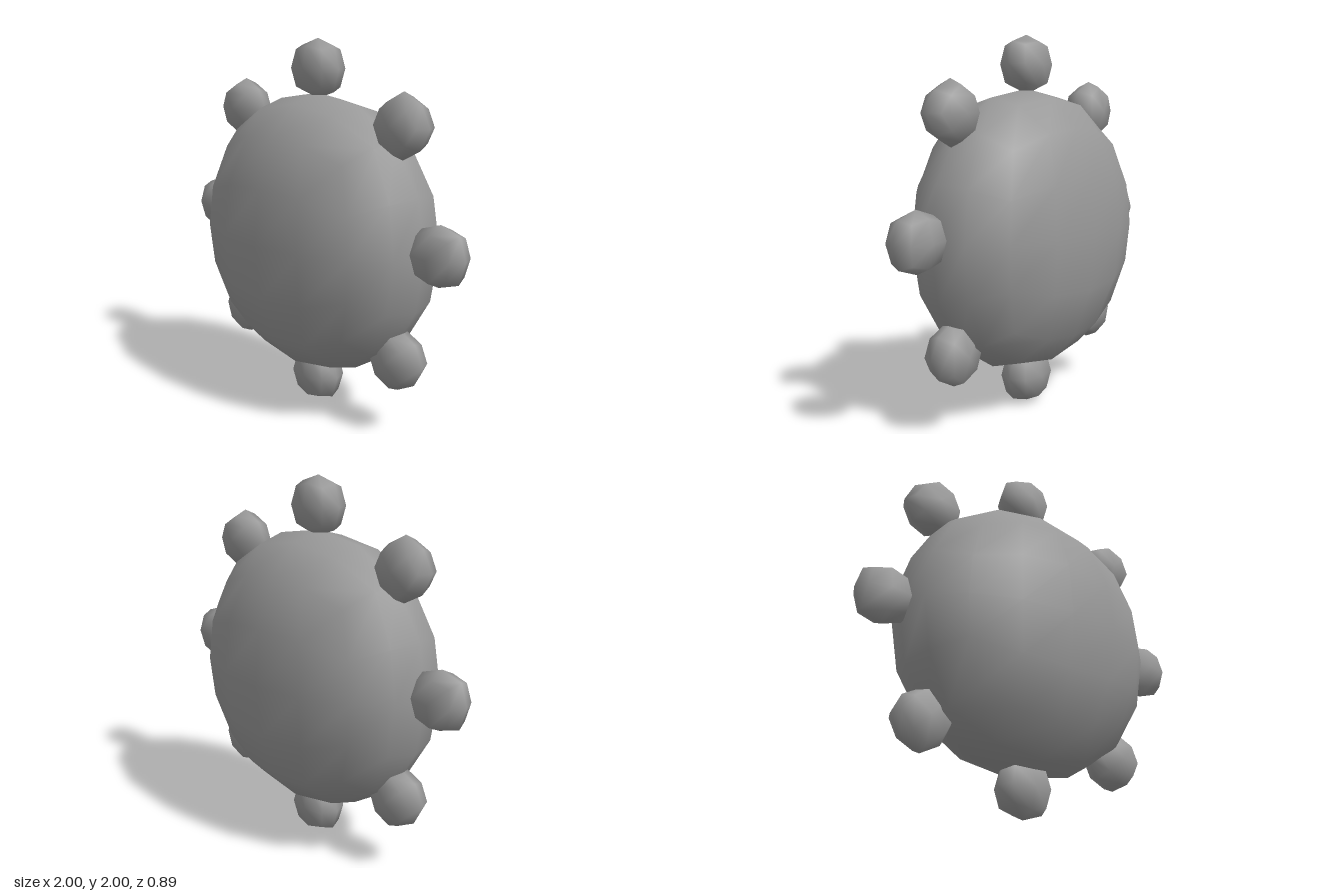
import * as THREE from 'three';
import { mergeVertices } from 'three/addons/utils/BufferGeometryUtils.js';

// Rounded cube-sphere: each cube face is a segs x segs quad grid bulged outwards,
// slightly flatter at the six face centres.
function quadSphere(segs, radius, dip, depth) {
  let geo = new THREE.BoxGeometry(2, 2, 2, segs, segs, segs);
  geo.deleteAttribute('uv');
  geo.deleteAttribute('normal');
  geo = mergeVertices(geo, 1e-4);
  const pos = geo.attributes.position;
  const v = new THREE.Vector3();
  for (let i = 0; i < pos.count; i++) {
    v.fromBufferAttribute(pos, i);
    v.set(...v.toArray().map((c) => Math.tan((c * Math.PI) / 4))).normalize();
    const m = Math.max(Math.abs(v.x), Math.abs(v.y), Math.abs(v.z));
    v.multiplyScalar(radius - dip * m ** 8);
    pos.setXYZ(i, v.x, v.y, v.z * depth);
  }
  geo.computeVertexNormals();
  return geo;
}

export function createModel() {
  const group = new THREE.Group();
  const material = new THREE.MeshStandardMaterial({ color: 0x999999 });

  // Flattened main body
  const body = new THREE.Mesh(quadSphere(4, 0.775, 0.024, 0.592), material);
  body.name = 'body';
  body.position.y = 0.968;
  group.add(body);

  // Ring of eight knobs around the rim
  const knobGeo = quadSphere(2, 0.167, 0.012, 0.71);
  const knobs = new THREE.Group();
  knobs.name = 'knobs';
  for (let i = 0; i < 8; i++) {
    const a = (i * Math.PI) / 4;
    const knob = new THREE.Mesh(knobGeo, material);
    knob.name = `knob${i + 1}`;
    knob.position.set(0.845 * Math.cos(a), 1 + 0.845 * Math.sin(a), 0);
    knob.rotation.z = a;
    knobs.add(knob);
  }
  group.add(knobs);

  return group;
}
